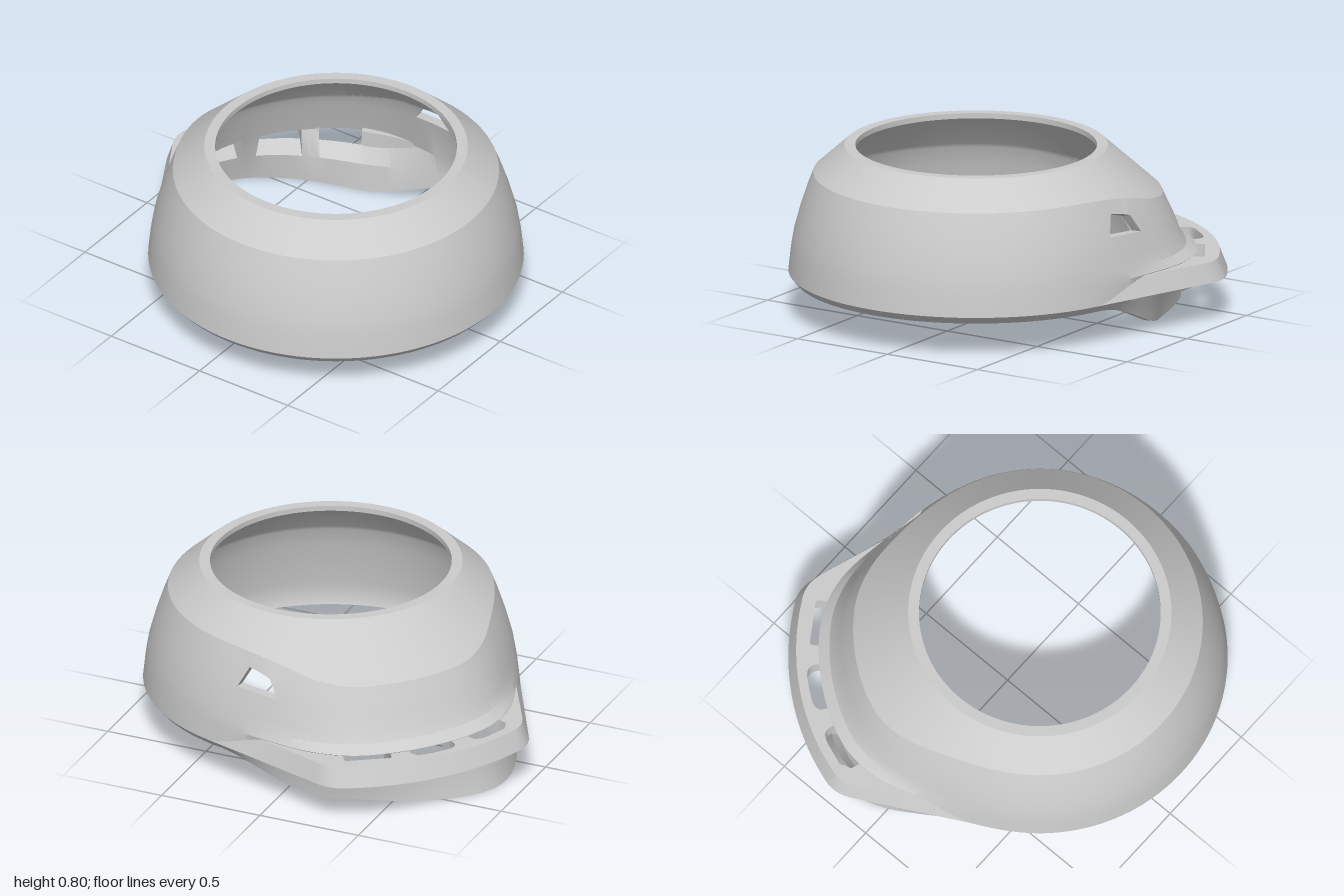
import * as THREE from 'three';
import { toCreasedNormals } from 'three/addons/utils/BufferGeometryUtils.js';

const RAD = Math.PI / 180;
const BULGE = 219.7; // direction of the bulge, degrees from +x towards +z
const COLS = 144, STEP = 360 / COLS;
const SLOT_COLUMNS = [[78, 83], [85, 90], [92, 97]];
const WINDOW_COLUMNS = [105, 111];
const smooth = THREE.MathUtils.smoothstep;
const fromBulge = (deg) => ((deg - BULGE + 900) % 360) - 180;

// Outline of the flange: a circle with straight tangents running to a wider arc,
// averaged over a span of degrees to round its corners.
function outline(a, span) {
  let sum = 0;
  for (let k = -5; k <= 5; k++) {
    const t = Math.abs(a + (k * span) / 5);
    sum += t > 68 ? 0.87 : Math.min(1.165, 0.87 / Math.cos((68 - t) * RAD));
  }
  return sum / 11;
}
const flangeRadius = (a) => outline(a, 3);
const bulgeAt = (a) => (outline(a, 10) - 0.87) / 0.295;

// The skirt under the flange is set further in towards the back.
const inset = (a) => smooth(a, -22, 28);
const skirtRadius = (a) => 0.87 + bulgeAt(a) * (0.18 - 0.14 * inset(a));

// Closed wall section [radius, height] at angle a from the bulge.
function section(a) {
  const b = bulgeAt(a);
  const low = 0.165 * smooth(Math.abs(a), 25, 64);
  const neckY = low + (0.2 - low) * 0.65;
  const neck = 0.86 + b * (0.19 - 0.17 * inset(a));
  const rim = 0.84 + b * (0.24 - 0.22 * inset(a));
  return [
    [0.56, 0.8],
    [0.61, 0.8],
    [0.755 + 0.11 * b, 0.67 - 0.1 * b],
    [0.782 + 0.11 * b, 0.6 - 0.09 * b], // 3: window top, outside
    [0.815 + 0.105 * b, 0.5 - 0.05 * b], // 4: window bottom, outside
    [0.845 + 0.105 * b, 0.39 - 0.02 * b],
    [0.855 + 0.12 * b, 0.33],
    [0.86 + 0.165 * b, 0.295], // 7: slot top, outside
    [skirtRadius(a), 0.2], // 8: slot bottom, outside
    [neck, neckY],
    [rim, low],
    [rim - 0.03, low],
    [neck - 0.04, neckY + 0.01], // 12: slot bottom, inside
    [0.815 + 0.115 * b, 0.275], // 13: slot top, inside
    [0.768 + 0.105 * b, 0.5 - 0.05 * b], // 14: window bottom, inside
    [0.742 + 0.11 * b, 0.59 - 0.09 * b], // 15: window top, inside
    [0.732 + 0.11 * b, 0.61 - 0.09 * b],
    [0.56, 0.775],
  ];
}

// Lofted shell with a trapezoid window at the back and slot openings in the bulge.
function shellGeometry() {
  const ROWS = 18, pos = [], index = [];
  const [w0, w1] = WINDOW_COLUMNS;
  for (let j = 0; j < COLS; j++) {
    const deg = j * STEP;
    section(fromBulge(deg)).forEach(([r, y], i) => {
      const narrow = (i === 3 || i === 15) && j >= w0 && j <= w1;
      const t = (narrow ? 270 + (deg - 270) * 0.55 : deg) * RAD;
      pos.push(r * Math.cos(t), y, r * Math.sin(t));
    });
  }
  const id = (i, j) => (j % COLS) * ROWS + (i % ROWS);
  const quad = (a, b, c, d) => index.push(a, b, c, b, d, c);

  // Openings: top and bottom rows on the outside and the inside.
  const openings = [
    { cols: WINDOW_COLUMNS, out: [3, 4], inn: [15, 14] },
    ...SLOT_COLUMNS.map((cols) => ({ cols, out: [7, 8], inn: [13, 12] })),
  ];
  const isOpen = (i, j) => openings.some(({ cols, out, inn }) =>
    j >= cols[0] && j < cols[1] && (i === out[0] || i === inn[1]));

  for (let j = 0; j < COLS; j++) {
    for (let i = 0; i < ROWS; i++) {
      if (!isOpen(i, j)) quad(id(i, j), id(i, j + 1), id(i + 1, j), id(i + 1, j + 1));
    }
  }
  // Walls lining each opening
  for (const { cols: [c0, c1], out: [oTop, oLow], inn: [iTop, iLow] } of openings) {
    for (let j = c0; j < c1; j++) {
      quad(id(oTop, j), id(oTop, j + 1), id(iTop, j), id(iTop, j + 1));
      quad(id(iLow, j), id(iLow, j + 1), id(oLow, j), id(oLow, j + 1));
    }
    quad(id(oTop, c0), id(iTop, c0), id(oLow, c0), id(iLow, c0));
    quad(id(iTop, c1), id(oTop, c1), id(iLow, c1), id(oLow, c1));
  }
  const geo = new THREE.BufferGeometry();
  geo.setAttribute('position', new THREE.Float32BufferAttribute(pos, 3));
  geo.setIndex(index);
  return toCreasedNormals(geo, 0.38);
}

// Point on the shape plane (its y becomes -z).
function polar(r, a) {
  const t = (BULGE + a) * RAD;
  return new THREE.Vector2(r * Math.cos(t), -r * Math.sin(t));
}

// Inner edge of the flange: hidden in the wall, cut outwards at each slot.
function flangeInner(a) {
  for (const [c0, c1] of SLOT_COLUMNS) {
    const mid = fromBulge(((c0 + c1) / 2) * STEP);
    const u = Math.abs(a - mid) / (((c1 - c0) / 2) * STEP);
    if (u < 1) return 1.03 + 0.055 * Math.sqrt(1 - u ** 6);
  }
  return skirtRadius(a) - 0.025;
}

// Crescent flange with a sloped outer edge and rounded corners.
function flangeGeometry() {
  const outer = [], inner = [];
  for (let a = -68; a <= 68; a += 1) outer.push(polar(flangeRadius(a), a));
  for (let a = 68; a >= -68; a -= 0.25) inner.push(polar(flangeInner(a), a));
  const shape = new THREE.Shape([...outer, ...inner]);
  const geo = new THREE.ExtrudeGeometry(shape, { depth: 0.092, bevelEnabled: false });
  geo.rotateX(-Math.PI / 2);
  geo.translate(0, 0.2, 0);
  const p = geo.attributes.position;
  for (let i = 0; i < p.count; i++) {
    const x = p.getX(i), z = p.getZ(i), r = Math.hypot(x, z);
    const edge = flangeRadius(fromBulge(Math.atan2(z, x) / RAD));
    if (p.getY(i) > 0.25 && r > edge - 0.005) {
      const s = 1 - 0.036 / r;
      p.setX(i, x * s);
      p.setZ(i, z * s);
    }
  }
  return toCreasedNormals(geo, 0.5);
}

export function createModel() {
  const group = new THREE.Group();
  group.name = 'slottedCollar';
  const material = new THREE.MeshStandardMaterial({ color: 0xcccccc });
  const add = (name, geometry) => {
    const mesh = new THREE.Mesh(geometry, material);
    mesh.name = name;
    mesh.position.set(0.13, 0, 0.085);
    group.add(mesh);
  };
  add('shell', shellGeometry());
  add('slottedFlange', flangeGeometry());
  return group;
}
